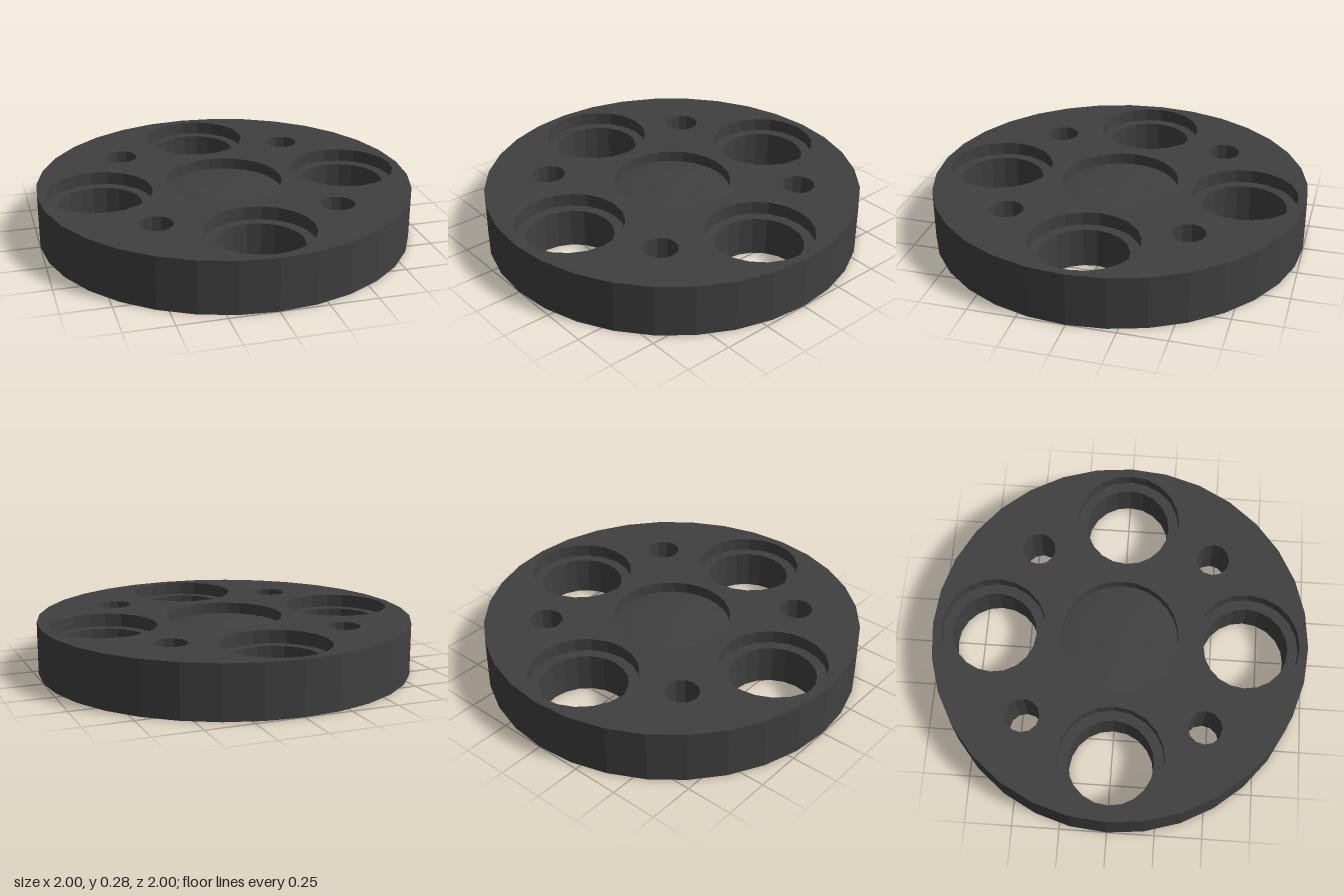
import * as THREE from 'three';

const HEIGHT = 0.28;
const SIDES = { disc: 32, bore: 20, bolt: 12, recess: 28 };
const BORE = { outer: 0.28, inner: 0.225, depth: 0.07, offset: 0.675 };
const BOLT = { radius: 0.09, offset: 0.475 };
const RECESS = { radius: 0.312, depth: 0.06, dome: 0.025 };

const boreCentres = [[1, 0], [0, 1], [-1, 0], [0, -1]].map(([x, z]) => [x * BORE.offset, z * BORE.offset]);
const boltCentres = [[1, 1], [-1, 1], [-1, -1], [1, -1]].map(([x, z]) => [x * BOLT.offset, z * BOLT.offset]);

// Polygon whose corners line up with a lathe of the same number of sides
function ring(x, y, radius, sides) {
  return Array.from({ length: sides }, (_, i) => {
    const a = (i / sides) * Math.PI * 2;
    return new THREE.Vector2(x + radius * Math.sin(a), y + radius * Math.cos(a));
  });
}

// Flat disc face pierced by the given holes
function face(holes) {
  const shape = new THREE.Shape(ring(0, 0, 1, SIDES.disc));
  for (const [x, y, r, n] of holes) shape.holes.push(new THREE.Path(ring(x, y, r, n)));
  return new THREE.ShapeGeometry(shape);
}

function lathe(points, sides) {
  return new THREE.LatheGeometry(points.map(([r, y]) => new THREE.Vector2(r, y)), sides);
}

export function createModel() {
  const group = new THREE.Group();
  const material = new THREE.MeshStandardMaterial({ color: 0x404040, flatShading: true });

  function add(name, geometry, x = 0, y = 0, z = 0) {
    const mesh = new THREE.Mesh(geometry, material);
    mesh.name = name;
    mesh.position.set(x, y, z);
    group.add(mesh);
  }

  // Disc: rim, top face and bottom face
  const bolts = boltCentres.map(([x, z]) => [x, z, BOLT.radius, SIDES.bolt]);
  const bores = (r) => boreCentres.map(([x, z]) => [x, z, r, SIDES.bore]);
  add('rim', lathe([[1, 0], [1, HEIGHT]], SIDES.disc));
  add('topFace', face([...bolts, ...bores(BORE.outer), [0, 0, RECESS.radius, SIDES.recess]])
    .rotateX(-Math.PI / 2), 0, HEIGHT, 0);
  add('bottomFace', face([...bolts, ...bores(BORE.inner)]).rotateX(Math.PI / 2));

  // Four stepped bores that go right through
  const ledge = HEIGHT - BORE.depth;
  const boreWall = lathe([
    [BORE.outer, HEIGHT], [BORE.outer, ledge], [BORE.inner, ledge], [BORE.inner, 0],
  ], SIDES.bore);
  boreCentres.forEach(([x, z]) => add('steppedBore', boreWall, x, 0, z));

  // Four small plain bolt holes
  const boltWall = lathe([[BOLT.radius, HEIGHT], [BOLT.radius, 0]], SIDES.bolt);
  boltCentres.forEach(([x, z]) => add('boltHole', boltWall, x, 0, z));

  // Central blind recess with a gently domed floor
  const profile = [[RECESS.radius, HEIGHT]];
  for (let i = 0; i <= 4; i++) {
    const t = 1 - i / 4;
    profile.push([RECESS.radius * t, HEIGHT - RECESS.depth + RECESS.dome * (1 - t * t)]);
  }
  add('centreRecess', lathe(profile, SIDES.recess));

  return group;
}
